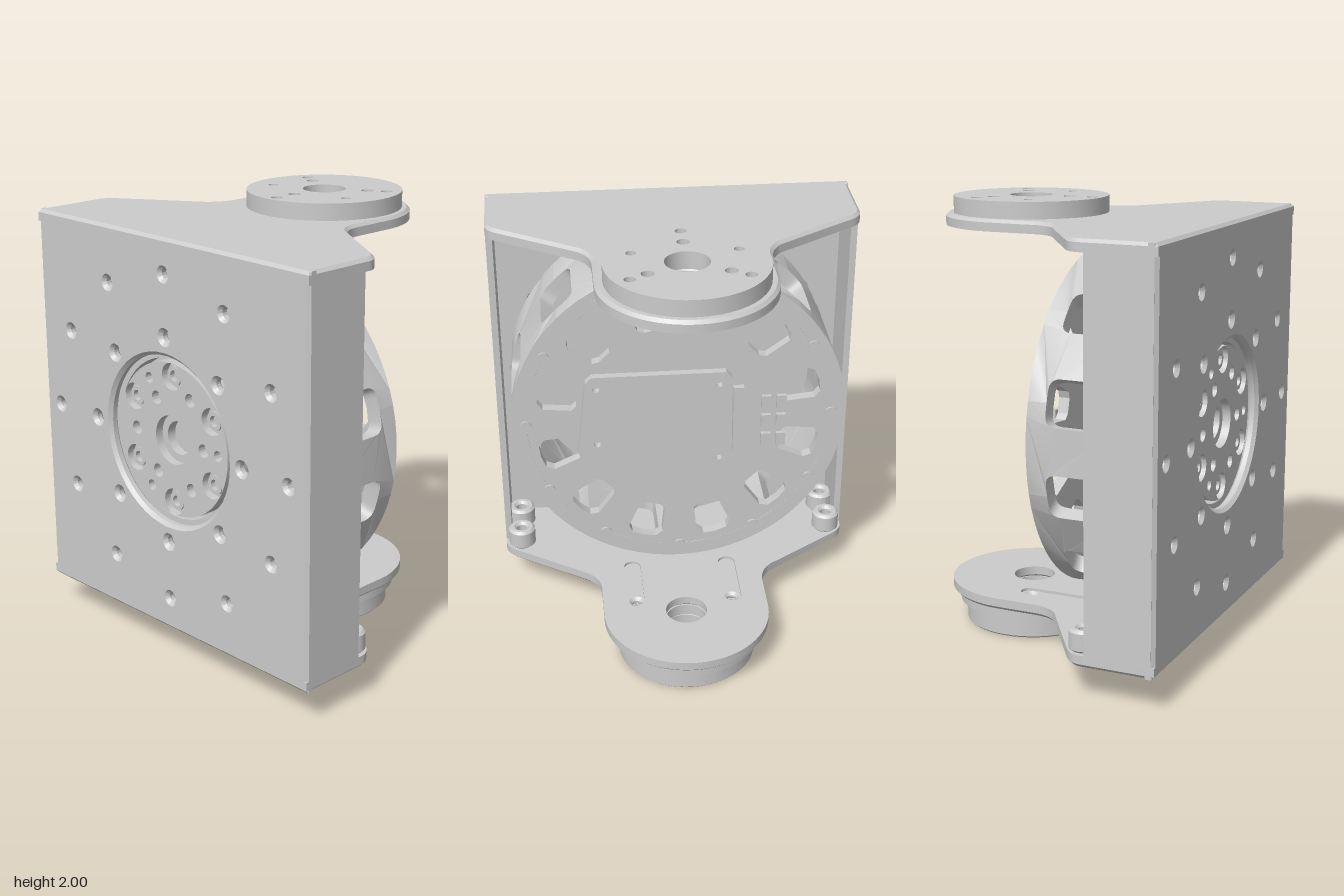
import * as THREE from 'three';
import { toCreasedNormals } from 'three/addons/utils/BufferGeometryUtils.js';

const CY = 1.035;   // height of the drum axis
const PZ = -0.29;   // depth of the pivot axis
const RAD = Math.PI / 180;
const mat = new THREE.MeshStandardMaterial({ color: 0xcccccc });

const circlePath = (x, y, r) => new THREE.Path().absarc(x, y, r, 0, Math.PI * 2, false);
const polar = (r, deg, cx = 0, cy = 0) => [cx + r * Math.cos(deg * RAD), cy + r * Math.sin(deg * RAD)];

function disc(x, y, r, holes = []) {
  const s = new THREE.Shape().absarc(x, y, r, 0, Math.PI * 2, false);
  s.holes.push(...holes);
  return s;
}

// Extrusion along z from z0 to z1, with an optional chamfer
function extrude(shape, z0, z1, bevel = 0) {
  const g = new THREE.ExtrudeGeometry(shape, {
    depth: z1 - z0 - 2 * bevel, bevelEnabled: bevel > 0, bevelThickness: bevel,
    bevelSize: bevel, bevelOffset: -bevel, bevelSegments: 1, curveSegments: 24,
  });
  return g.translate(0, 0, z0 + bevel);
}

// Horizontal slab: the shape is drawn in x and z
function slab(shape, y0, y1, bevel = 0) {
  return extrude(shape, -y1, -y0, bevel).rotateX(Math.PI / 2);
}

// Bracket arm outline: wide at the front, round at the pivot
function armShape(holes) {
  const s = new THREE.Shape();
  s.moveTo(-0.84, 0.675);
  s.lineTo(0.84, 0.675);
  s.lineTo(0.84, 0.34);
  s.quadraticCurveTo(0.84, 0.295, 0.79, 0.26);
  s.lineTo(0.44, 0.03);
  s.quadraticCurveTo(0.385, -0.02, 0.385, -0.1);
  s.lineTo(0.385, PZ);
  s.absarc(0, PZ, 0.385, 0, Math.PI, true);
  s.lineTo(-0.385, -0.1);
  s.quadraticCurveTo(-0.385, -0.02, -0.44, 0.03);
  s.lineTo(-0.79, 0.26);
  s.quadraticCurveTo(-0.84, 0.295, -0.84, 0.34);
  s.holes.push(...holes);
  return s;
}

function slotPath(x, z0, z1, r) {
  const p = new THREE.Path();
  p.absarc(x, z1 - r, r, 0, Math.PI, false);
  p.absarc(x, z0 + r, r, Math.PI, Math.PI * 2, false);
  p.closePath();
  return p;
}

// Rounded window in the drum's back plate
function windowPath(deg) {
  const pts = [[0.48, -4], [0.50, -7], [0.63, -7.5], [0.66, -5], [0.665, 0], [0.66, 5],
    [0.63, 7.5], [0.50, 7], [0.48, 4]].map(([r, a]) => new THREE.Vector2(...polar(r, deg + a, 0, CY)));
  return new THREE.Path(pts);
}

// One twelfth of the drum wall: a pillar flaring into the end bands, bent round the axis
function wallSegment(deg) {
  const h = Math.PI / 12, p = h / 2, c = 0.065, z0 = 0.065, z1 = 0.63, a = 0.15, b = 0.45;
  const s = new THREE.Shape();
  s.moveTo(-h, z0);
  for (let i = 1; i <= 6; i++) s.lineTo(-h + i * h / 3, z0);
  s.lineTo(h, a);
  s.lineTo(p + c, a);
  s.quadraticCurveTo(p, a, p, a + 0.05);
  s.lineTo(p, b - 0.05);
  s.quadraticCurveTo(p, b, p + c, b);
  s.lineTo(h, b);
  for (let i = 0; i <= 6; i++) s.lineTo(h - i * h / 3, z1);
  s.lineTo(-h, b);
  s.lineTo(-p - c, b);
  s.quadraticCurveTo(-p, b, -p, b - 0.05);
  s.lineTo(-p, a + 0.05);
  s.quadraticCurveTo(-p, a, -p - c, a);
  s.lineTo(-h, a);
  const g = new THREE.ExtrudeGeometry(s, { depth: 0.07, bevelEnabled: false, curveSegments: 5 });
  const v = g.attributes.position;
  for (let i = 0; i < v.count; i++) {
    const t = deg * RAD + v.getX(i), r = 0.70 + v.getZ(i);
    v.setXYZ(i, r * Math.cos(t), CY + r * Math.sin(t), v.getY(i));
  }
  return g;
}

export function createModel() {
  const root = new THREE.Group();
  const group = (name) => { const g = new THREE.Group(); g.name = name; root.add(g); return g; };
  const add = (parent, name, geo) => {
    const flat = geo.index ? geo.toNonIndexed() : geo;
    const m = new THREE.Mesh(toCreasedNormals(flat, 0.5), mat);
    m.name = name;
    parent.add(m);
    return m;
  };
  const cylZ = (r, x, y, z0, z1, n = 20) =>
    new THREE.CylinderGeometry(r, r, z1 - z0, n).rotateX(Math.PI / 2).translate(x, y, (z0 + z1) / 2);

  // Front panel with two rings of countersunk screw holes
  const frame = group('bracketFrame');
  const panel = new THREE.Shape([[-0.84, 0.15], [0.84, 0.15], [0.84, 1.925], [-0.84, 1.925]]
    .map(([x, y]) => new THREE.Vector2(x, y)));
  panel.holes.push(circlePath(0, CY, 0.38));
  for (let i = 0; i < 12; i++) panel.holes.push(circlePath(...polar(0.735, i * 30, 0, CY), 0.022));
  for (let i = 0; i < 8; i++) panel.holes.push(circlePath(...polar(0.465, i * 45, 0, CY), 0.025));
  add(frame, 'frontPanel', extrude(panel, 0.62, 0.675, 0.016));

  // Side walls
  for (const s of [-1, 1]) {
    add(frame, 'sideWall', new THREE.BoxGeometry(0.03, 1.73, 0.3).translate(s * 0.825, CY, 0.51));
  }

  // Upper and lower arms: chamfered outside, slotted inside
  const through = () => [circlePath(0, PZ, 0.096), circlePath(-0.225, -0.19, 0.022), circlePath(0.225, -0.19, 0.022)];
  const slotted = () => [circlePath(0, PZ, 0.096), slotPath(-0.23, -0.24, 0.11, 0.04), slotPath(0.23, -0.24, 0.11, 0.04)];
  const feet = [];
  for (const s of [-1, 1]) for (const z of [0.325, 0.51]) feet.push([s * 0.76, z]);
  const footHoles = () => feet.map(([x, z]) => circlePath(x, z, 0.025));
  add(frame, 'upperArm', slab(armShape(through()), 1.885, 1.925, 0.014));
  add(frame, 'upperArmLining', slab(armShape(slotted()), 1.872, 1.9));
  add(frame, 'lowerArm', slab(armShape([...through(), ...footHoles()]), 0.15, 0.19, 0.014));
  add(frame, 'lowerArmLining', slab(armShape([...slotted(), ...footHoles()]), 0.175, 0.203));
  for (const [x, z] of feet) {
    add(frame, 'screwBoss', slab(disc(x, z, 0.065, [circlePath(x, z, 0.025)]), 0.2, 0.3, 0.012));
  }

  // Upper pivot disc
  const pivots = group('pivots');
  const topHoles = [[0, -0.10, 0.028], [0, 0.01, 0.025]];
  for (const s of [-1, 1]) topHoles.push([s * 0.245, -0.435, 0.025], [s * 0.17, -0.39, 0.028]);
  add(pivots, 'upperPivot', slab(disc(0, PZ, 0.35,
    [...through(), ...topHoles.map((h) => circlePath(...h))]), 1.92, 2));

  // Lower pivot: flange and smaller boss with a ring of screw holes
  const ring = Array.from({ length: 8 }, (_, i) => circlePath(...polar(0.275, i * 45 + 22.5, 0, PZ), 0.014));
  add(pivots, 'lowerPivotFlange', slab(disc(0, PZ, 0.35, through()), 0.1, 0.155));
  add(pivots, 'lowerPivotBoss', slab(disc(0, PZ, 0.32, [...through(), ...ring]), 0, 0.105, 0.008));

  // Hollow drum wall with twelve side openings
  const drum = group('motorDrum');
  for (let i = 0; i < 12; i++) add(drum, 'drumWall', wallSegment(i * 30));

  // Drum back plate with windows and screws
  const windows = Array.from({ length: 12 }, (_, i) => windowPath(i * 30 + 15));
  add(drum, 'drumBackPlate', extrude(disc(0, CY, 0.71, windows), 0.066, 0.115));
  for (let i = 0; i < 12; i++) {
    const [x, y] = polar(0.705, i * 30, 0, CY);
    add(drum, 'drumScrew', cylZ(0.026, x, y, 0.056, 0.08, 16));
  }
  add(drum, 'drumCore', cylZ(0.6, 0, CY, 0.45, 0.56, 48));

  // Electronics cover, connector and small components on the back
  const board = group('electronics');
  const cover = new THREE.Shape([[0.47, 0.89], [0.43, 1.26], [0.40, 1.29], [-0.21, 1.29], [-0.24, 1.26],
    [-0.24, 0.80], [-0.20, 0.77]].map(([x, y]) => new THREE.Vector2(x, y)));
  cover.holes.push(...[[0.38, 1.23], [-0.18, 1.23], [-0.18, 0.84], [0.38, 0.94]].map(([x, y]) => circlePath(x, y, 0.016)));
  add(board, 'electronicsCover', extrude(cover, 0.03, 0.066));
  add(board, 'connector', new THREE.BoxGeometry(0.05, 0.34, 0.03).translate(-0.27, 1.03, 0.052));
  for (const x of [-0.4, -0.47]) for (const y of [0.91, 1.01, 1.11]) {
    add(board, 'chip', new THREE.BoxGeometry(0.045, 0.065, 0.02).translate(x, y, 0.057));
  }

  // Output rotor recessed in the front opening
  const rotor = group('outputRotor');
  const big = Array.from({ length: 6 }, (_, i) => polar(0.285, 30 + i * 60, 0, CY));
  const small = [[0.115, 1.24], [0.115, 0.835], [0.195, CY], [-0.235, CY], [-0.1, 1.205], [-0.1, 0.87]];
  const pins = [[-0.145, 1.285], [0.285, CY], [-0.145, 0.79]];
  const face = disc(0, CY, 0.345, [circlePath(0, CY, 0.11),
    ...big.map(([x, y]) => circlePath(x, y, 0.06)),
    ...small.map(([x, y]) => circlePath(x, y, 0.03)),
    ...pins.map(([x, y]) => circlePath(x, y, 0.024))]);
  add(rotor, 'rotorFace', extrude(face, 0.6, 0.64));
  add(rotor, 'rotorHub', extrude(disc(0, CY, 0.345, [circlePath(0, CY, 0.075)]), 0.55, 0.602));
  add(rotor, 'rotorSeat', extrude(disc(0, CY, 0.42, [circlePath(0, CY, 0.36)]), 0.55, 0.625));
  for (const [x, y] of big) {
    add(rotor, 'rotorScrew', extrude(disc(x, y, 0.042, [circlePath(x, y, 0.024)]), 0.59, 0.625));
  }
  return root;
}
